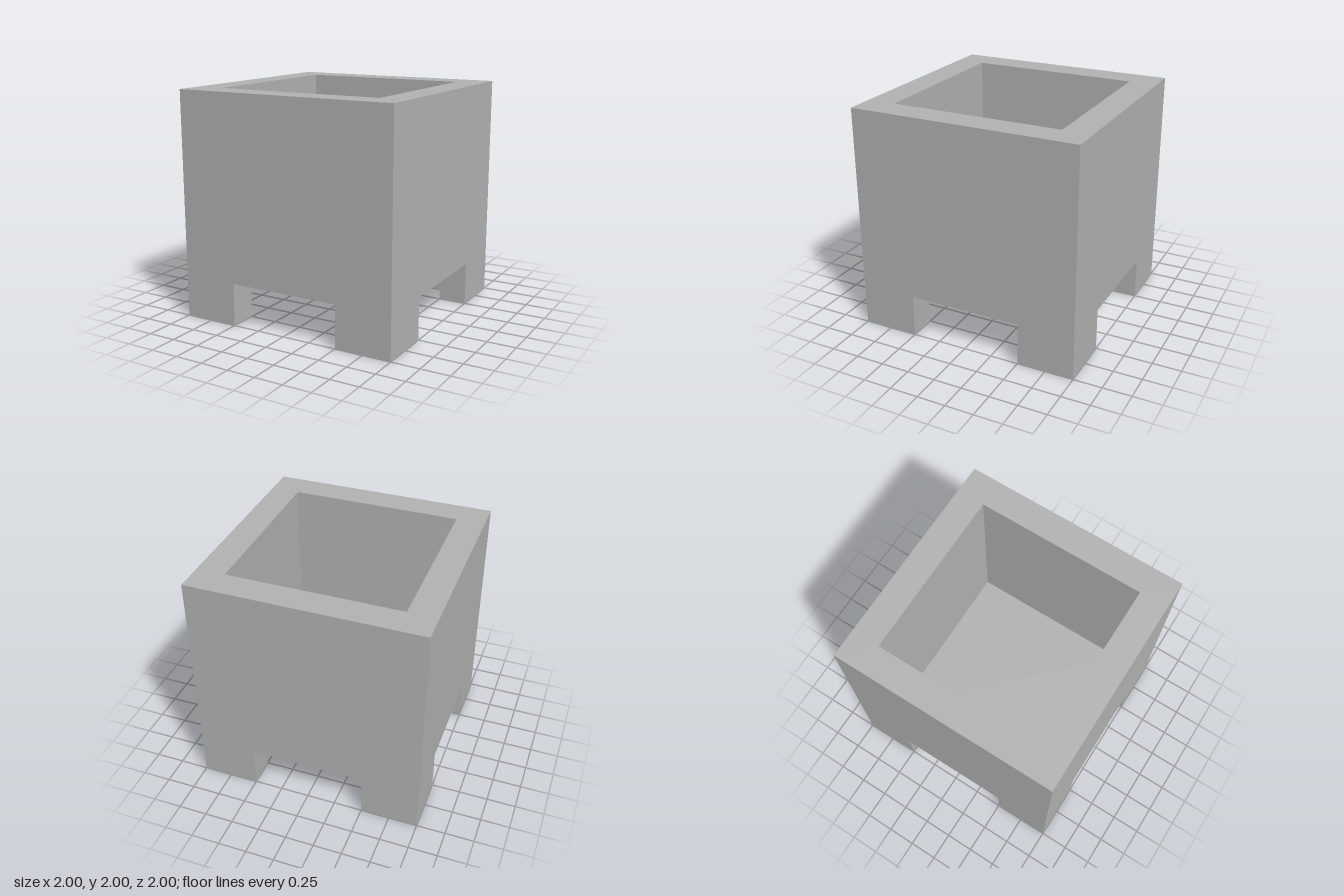
import * as THREE from 'three';

const LEG_HEIGHT = 0.375;

// Square hollow pot: a four-sided lathe, so the shell is one closed surface
function potGeometry() {
  const profile = [
    [0, LEG_HEIGHT], [1, LEG_HEIGHT], [1, 2], [0.75, 2], [0.75, 0.5], [0, 0.5],
  ].map(([halfWidth, y]) => new THREE.Vector2(halfWidth * Math.SQRT2, y));
  const geometry = new THREE.LatheGeometry(profile, 4, Math.PI / 4).toNonIndexed();
  geometry.computeVertexNormals();
  return geometry;
}

// L-shaped corner foot, standing on the ground
function footGeometry() {
  const outline = [[1, 1], [0.5, 1], [0.5, 0.75], [0.75, 0.75], [0.75, 0.5], [1, 0.5]];
  const shape = new THREE.Shape(outline.map(([x, y]) => new THREE.Vector2(x, y)));
  return new THREE.ExtrudeGeometry(shape, { depth: LEG_HEIGHT, bevelEnabled: false })
    .rotateX(-Math.PI / 2);
}

export function createModel() {
  const model = new THREE.Group();
  model.name = 'cauldron';
  const iron = new THREE.MeshStandardMaterial({ color: 0xb2b2b2 });
  iron.name = 'grey iron';

  const pot = new THREE.Mesh(potGeometry(), iron);
  pot.name = 'pot';
  model.add(pot);

  // One foot under each corner
  const foot = footGeometry();
  ['rightBack', 'rightFront', 'leftFront', 'leftBack'].forEach((corner, i) => {
    const mesh = new THREE.Mesh(foot, iron);
    mesh.name = corner + 'Foot';
    mesh.rotation.y = (i + 1) * Math.PI / 2;
    model.add(mesh);
  });
  return model;
}
